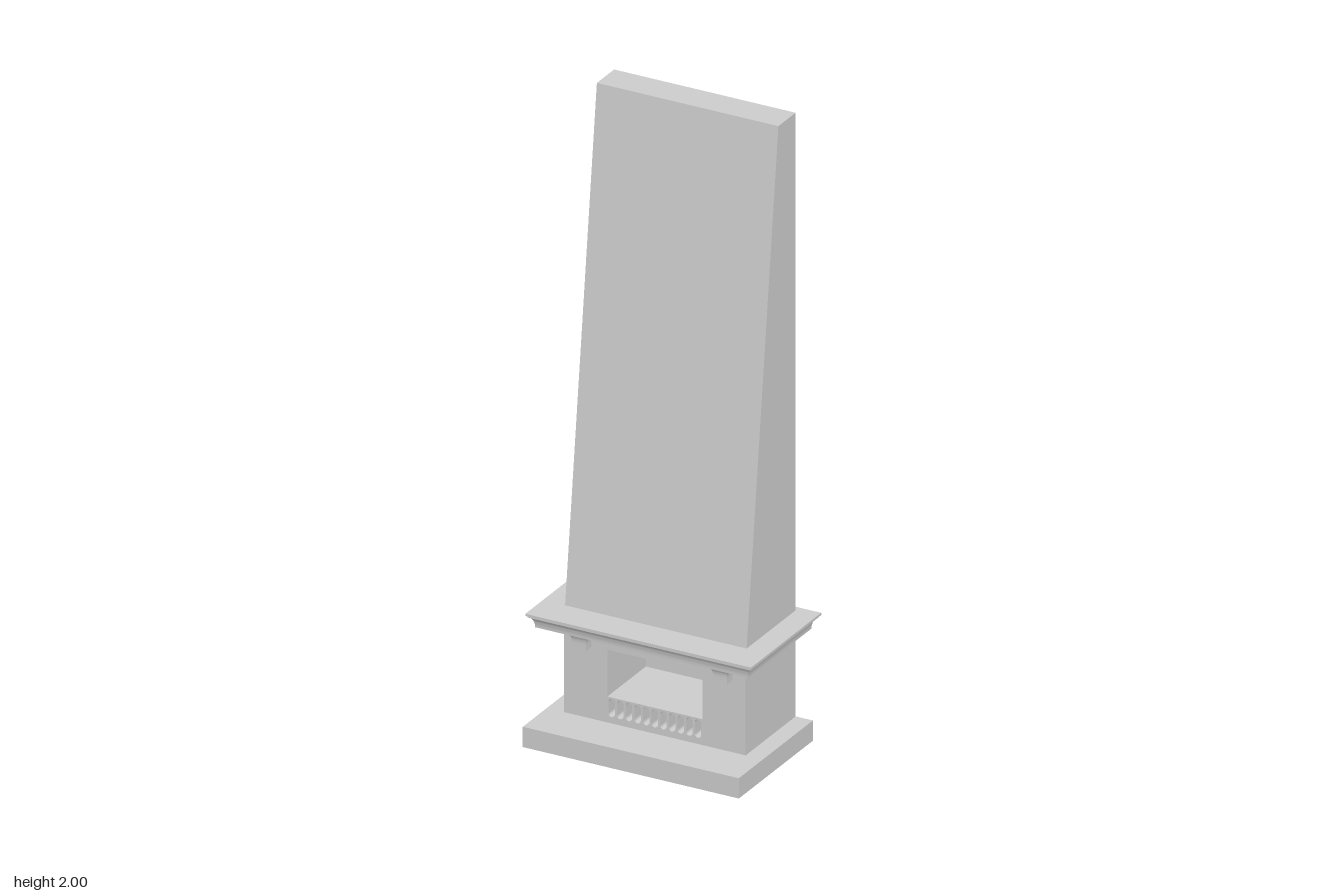
import * as THREE from 'three';
import { toCreasedNormals } from 'three/addons/utils/BufferGeometryUtils.js';

const material = new THREE.MeshStandardMaterial({ color: 0xcccccc });

function add(parent, name, geometry, x = 0, y = 0, z = 0) {
  const mesh = new THREE.Mesh(geometry, material);
  mesh.name = name;
  mesh.position.set(x, y, z);
  parent.add(mesh);
  return mesh;
}

// Closed solid through stacked rectangles, each [y, halfWidth, zBack, zFront]
function stack(levels) {
  const rings = levels.map(([y, w, z0, z1]) => [[-w, y, z1], [w, y, z1], [w, y, z0], [-w, y, z0]]);
  const pos = [];
  const quad = (a, b, c, d) => pos.push(...a, ...b, ...c, ...a, ...c, ...d);
  for (let i = 0; i < rings.length - 1; i++) {
    const lo = rings[i], hi = rings[i + 1];
    for (let k = 0; k < 4; k++) {
      const n = (k + 1) % 4;
      quad(lo[k], lo[n], hi[n], hi[k]);
    }
  }
  quad(...rings[rings.length - 1]);
  quad(...[...rings[0]].reverse());
  const g = new THREE.BufferGeometry();
  g.setAttribute('position', new THREE.Float32BufferAttribute(pos, 3));
  return toCreasedNormals(g, 0.5);
}

// Cove curve: steps of [height, outward offset] between y0 and y1
function cove(y0, y1, reach, steps = 8) {
  return Array.from({ length: steps + 1 }, (_, i) => {
    const a = (i / steps) * Math.PI / 2;
    return [y0 + (y1 - y0) * Math.sin(a), reach * (1 - Math.cos(a))];
  });
}

function rectangle(shape, x0, y0, x1, y1) {
  shape.moveTo(x0, y0).lineTo(x1, y0).lineTo(x1, y1).lineTo(x0, y1).closePath();
  return shape;
}

// Upright slot with round ends
function slot(cx, y0, y1, r) {
  const p = new THREE.Path();
  p.moveTo(cx + r, y0 + r).lineTo(cx + r, y1 - r);
  p.absarc(cx, y1 - r, r, 0, Math.PI, false);
  p.lineTo(cx - r, y0 + r);
  p.absarc(cx, y0 + r, r, Math.PI, Math.PI * 2, false);
  return p;
}

// Wall layer with the firebox opening cut through it
function wallShape() {
  const s = rectangle(new THREE.Shape(), -0.3, 0.065, 0.3, 0.36);
  s.holes.push(rectangle(new THREE.Path(), -0.157, 0.148, 0.157, 0.298));
  return s;
}

export function createModel() {
  const model = new THREE.Group();
  model.name = 'fireplace';
  const back = -0.212, front = 0.087;

  // Hearth slab
  add(model, 'hearth', stack([[0, 0.357, back, 0.231], [0.065, 0.357, back, 0.231]]));

  // Firebox: front panel with a row of vent slots, surround and back wall
  const firebox = new THREE.Group();
  firebox.name = 'firebox';
  model.add(firebox);
  const panel = wallShape(), slots = 11, pitch = 0.314 / slots;
  for (let i = 0; i < slots; i++) {
    panel.holes.push(slot((i - (slots - 1) / 2) * pitch, 0.085, 0.143, 0.0105));
  }
  const layer = (depth) => ({ depth, bevelEnabled: false, curveSegments: 6 });
  add(firebox, 'frontPanel', new THREE.ExtrudeGeometry(panel, layer(0.04)), 0, 0, front - 0.04);
  add(firebox, 'fireboxSurround', new THREE.ExtrudeGeometry(wallShape(), layer(0.19)), 0, 0, front - 0.23);
  add(firebox, 'backWall', stack([[0.065, 0.3, back, front - 0.23], [0.36, 0.3, back, front - 0.23]]));

  // Corbels under the mantel
  const corbelLevels = [
    [0.295, 0],
    ...cove(0.315, 0.347, 0.02),
    [0.36, 0.02],
  ].map(([y, e]) => [y, 0.023 + e, front - 0.005, 0.119 + e]);
  for (const side of [-1, 1]) {
    add(model, side > 0 ? 'leftCorbel' : 'rightCorbel', stack(corbelLevels), side * 0.233);
  }

  // Mantel with a coved moulding on all four sides
  const mantelLevels = [
    ...cove(0.358, 0.392, 0.016),
    [0.396, 0.016],
    [0.398, 0.021],
    [0.405, 0.021],
  ].map(([y, e]) => [y, 0.352 + e, back - e, 0.166 + e]);
  add(model, 'mantel', stack(mantelLevels));

  // Chimney breast, its front leaning back
  add(model, 'chimney', stack([[0.405, 0.3, back, 0.081], [2, 0.3, back, -0.109]]));

  return model;
}
